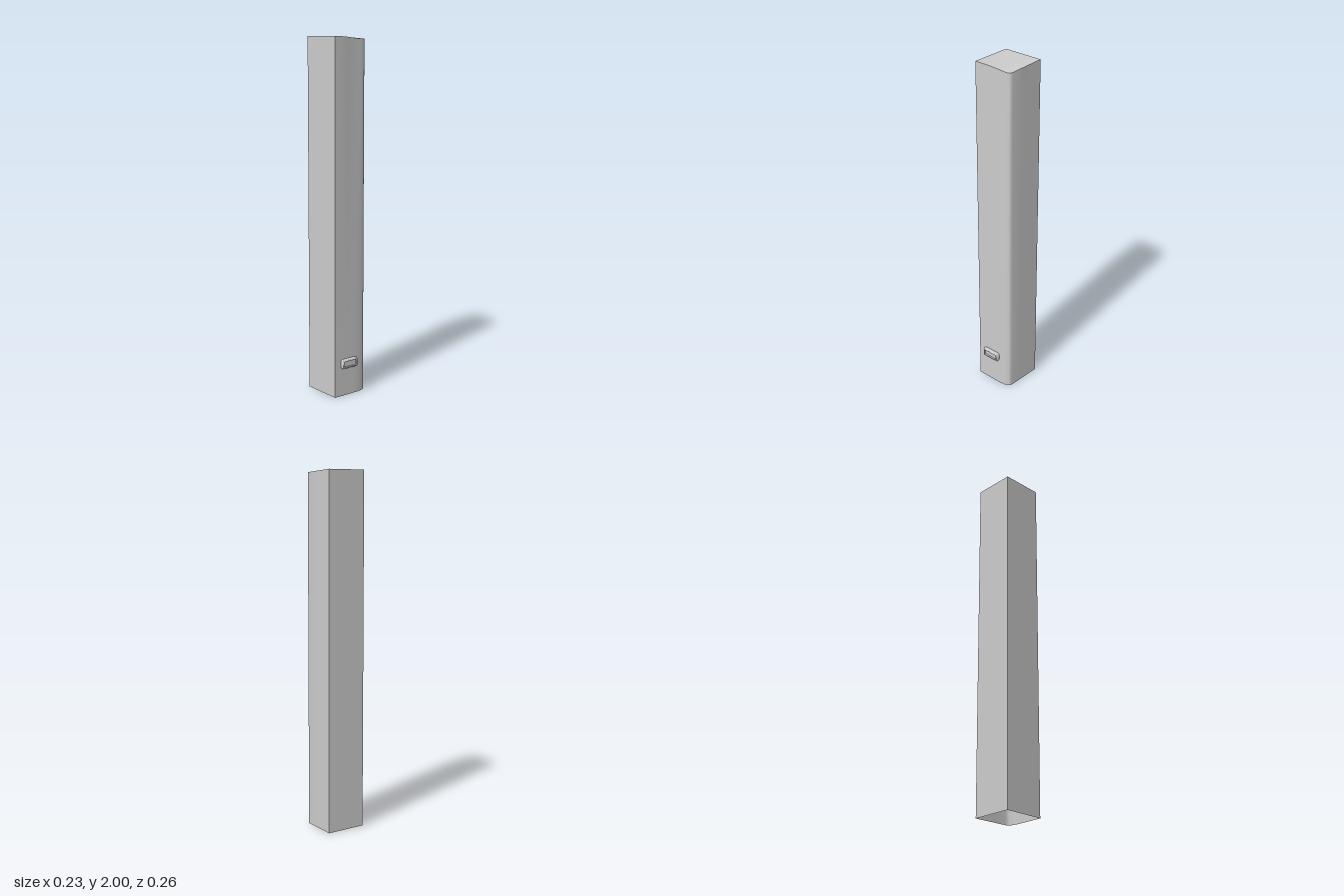
import * as THREE from 'three';
import { toCreasedNormals } from 'three/addons/utils/BufferGeometryUtils.js';

// Skin a stack of closed rings (counter-clockwise about the stacking axis) and cap the last one.
function loft(rings, crease) {
  const n = rings[0].length;
  const index = [];
  for (let r = 0; r < rings.length - 1; r++) {
    for (let j = 0; j < n; j++) {
      const a = r * n + j, b = r * n + (j + 1) % n;
      index.push(a, b, b + n, a, b + n, a + n);
    }
  }
  const last = rings[rings.length - 1];
  const centre = new THREE.Vector3();
  last.forEach((p) => centre.addScaledVector(p, 1 / n));
  const c = rings.length * n, base = c - n;
  for (let j = 0; j < n; j++) index.push(c, base + j, base + (j + 1) % n);
  const geometry = new THREE.BufferGeometry().setFromPoints([...rings.flat(), centre]);
  geometry.setIndex(index);
  return toCreasedNormals(geometry, crease);
}

// Rounded rectangle ring lying at depth z
function roundedRing(cx, cy, w, h, radius, z) {
  const points = [];
  const corners = [[1, 1], [-1, 1], [-1, -1], [1, -1]];
  corners.forEach(([sx, sy], q) => {
    for (let i = 0; i <= 6; i++) {
      const a = (q + i / 6) * Math.PI / 2;
      points.push(new THREE.Vector3(
        cx + sx * (w / 2 - radius) + radius * Math.cos(a),
        cy + sy * (h / 2 - radius) + radius * Math.sin(a), z));
    }
  });
  return points;
}

export function createModel() {
  const group = new THREE.Group();
  const grey = new THREE.MeshStandardMaterial({ color: 0xcccccc });
  const shell = new THREE.MeshStandardMaterial({ color: 0xcccccc, side: THREE.DoubleSide });

  // Column plan: x, z at the foot, z at the head (front draws back near the top)
  const plan = [
    [-0.117, -0.13, -0.13], [-0.117, 0.107, 0.107], [-0.07, 0.107, 0.107],
    [-0.045, 0.107, 0.105], [-0.02, 0.107, 0.102], [0.005, 0.107, 0.099],
    [0.03, 0.107, 0.097], [0.055, 0.105, 0.096], [0.075, 0.102, 0.096],
    [0.09, 0.098, 0.095], [0.099, 0.093, 0.092], [0.105, 0.086, 0.086],
    [0.108, 0.075, 0.075], [0.111, 0, 0], [0.117, -0.13, -0.13],
  ];

  // The head dips gently towards the rounded front corner
  const headHeight = (x, z) =>
    2 - 0.014 * THREE.MathUtils.smoothstep(x, -0.08, 0.1) * THREE.MathUtils.clamp((z + 0.13) / 0.23, 0, 1);

  const steps = 8;
  const rings = [];
  for (let s = 0; s <= steps; s++) {
    const t = s / steps;
    rings.push(plan.map(([x, z0, z1]) => {
      const z = THREE.MathUtils.lerp(z0, z1, t);
      return new THREE.Vector3(x, t * headHeight(x, z), z);
    }));
  }
  const column = new THREE.Mesh(loft(rings, 0.6), shell);
  column.name = 'column';
  group.add(column);

  // Small plate with a rounded rim and a recessed face: inset, depth
  const rim = [[0, 0.1], [0, 0.117], [0.001, 0.121], [0.003, 0.1245],
    [0.006, 0.1265], [0.009, 0.127], [0.011, 0.127], [0.011, 0.117]];
  const plateRings = rim.map(([inset, z]) =>
    roundedRing(-0.02, 0.187, 0.11 - 2 * inset, 0.054 - 2 * inset, Math.max(0.012 - inset, 0.002), z));
  const plate = new THREE.Mesh(loft(plateRings, 0.7), grey);
  plate.name = 'recessedPlate';
  group.add(plate);

  return group;
}
